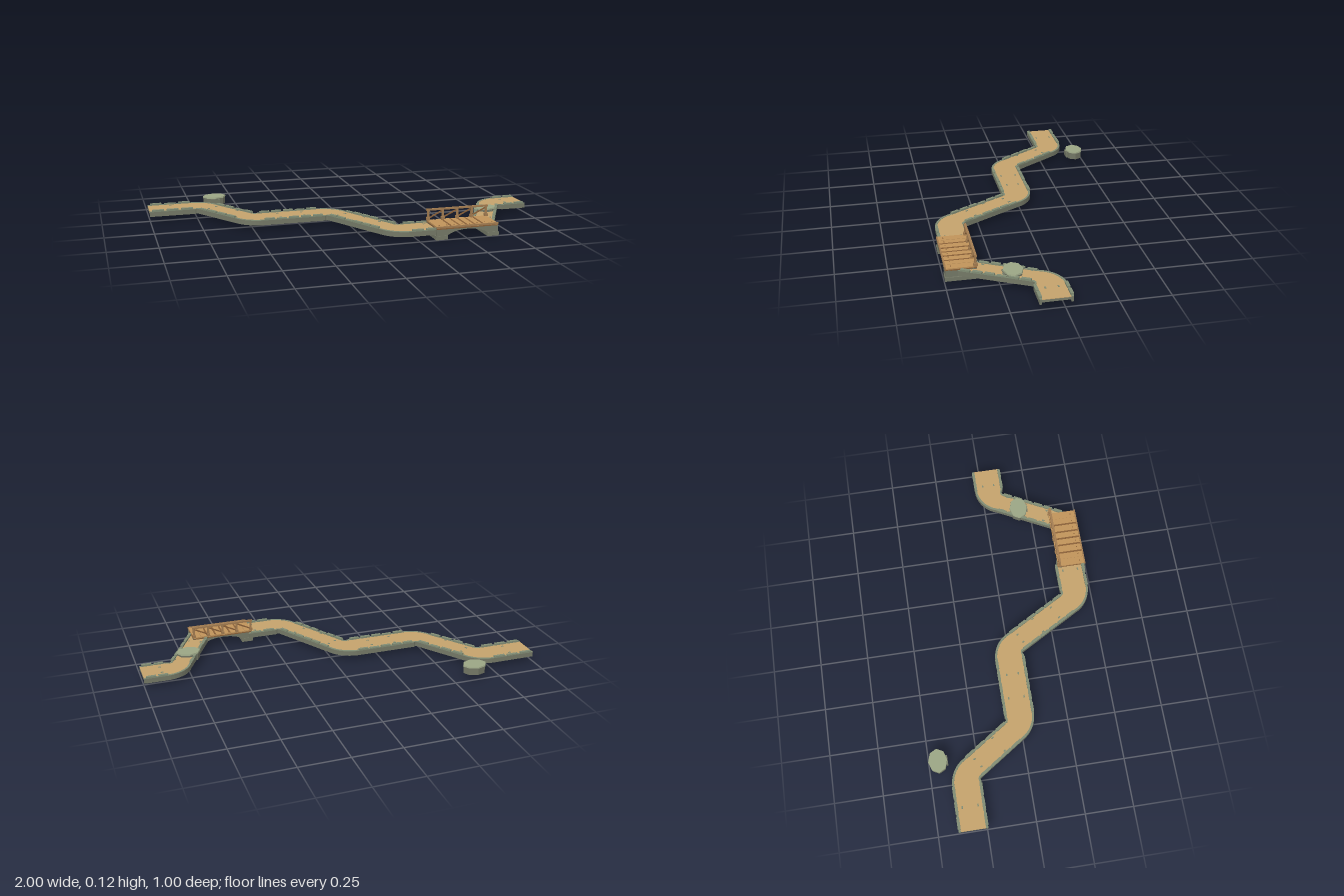
import * as THREE from 'three';

const mat = (name, color, side = THREE.FrontSide) => {
  const m = new THREE.MeshStandardMaterial({ color, side });
  m.name = name;
  return m;
};

export function createModel() {
  const root = new THREE.Group();
  root.name = 'footpathWithBridge';
  const dirt = mat('dirt', 0xc4a26c);
  const stone = mat('stone', 0x747866);
  const cap = mat('capStone', 0x808c74);
  const underStone = mat('underStone', 0x777b69, THREE.DoubleSide);
  const rockTop = mat('rockTop', 0x9ba585);
  const wood = mat('wood', 0xc0935a);
  const darkWood = mat('darkWood', 0x8a6038);
  const railWood = mat('railWood', 0xa37c50);

  const add = (parent, name, geo, material, x = 0, y = 0, z = 0, ry = 0, rz = 0) => {
    const m = new THREE.Mesh(geo, material);
    m.name = name;
    m.position.set(x, y, z);
    m.rotation.set(0, ry, rz);
    parent.add(m);
    return m;
  };
  const box = (p, name, w, h, d, material, x, y, z, ry, rz) =>
    add(p, name, new THREE.BoxGeometry(w, h, d), material, x, y, z, ry, rz);

  // Centre line with rounded corners; w is the half width of each leg
  const R = 0.085;
  function route(pts, w) {
    const legs = w.map((hw, i) => {
      const dx = pts[i + 1][0] - pts[i][0], dz = pts[i + 1][1] - pts[i][1];
      return { hw, a: Math.atan2(dz, dx), len: Math.hypot(dx, dz), x: pts[i][0], z: pts[i][1], s0: 0, s1: 0 };
    });
    const out = [];
    const put = (x, z, a, hw) => out.push({ x, z, nx: Math.sin(a), nz: -Math.cos(a), hw });
    put(pts[0][0], pts[0][1], legs[0].a, w[0]);
    for (let i = 0; i + 1 < legs.length; i++) {
      const A = legs[i], B = legs[i + 1], d = B.a - A.a, s = Math.sign(d);
      const t = R * Math.tan(Math.abs(d) / 2);
      A.s1 = t;
      B.s0 = t;
      const cx = B.x - Math.cos(A.a) * t - Math.sin(A.a) * s * R;
      const cz = B.z - Math.sin(A.a) * t + Math.cos(A.a) * s * R;
      for (let k = 0; k <= 8; k++) {
        const a = A.a + d * k / 8;
        put(cx + Math.sin(a) * s * R, cz - Math.cos(a) * s * R, a, A.hw + (B.hw - A.hw) * k / 8);
      }
    }
    const L = legs[legs.length - 1], e = pts[pts.length - 1];
    put(e[0], e[1], L.a, L.hw);
    return { out, legs };
  }

  // Sweeps a rectangular section along the route; lo and hi give the side offsets
  function sweep(line, lo, hi, y0, y1) {
    const v = [];
    const ring = line.map(p => {
      const at = (o, y) => [p.x + p.nx * o, y, p.z + p.nz * o];
      const l = lo(p.hw), h = hi(p.hw);
      return [at(l, y0), at(l, y1), at(h, y1), at(h, y0)];
    });
    const quad = (a, b, c, d) => v.push(...a, ...b, ...c, ...a, ...c, ...d);
    for (let i = 0; i + 1 < ring.length; i++)
      for (let k = 0; k < 4; k++) {
        const n = (k + 1) % 4;
        quad(ring[i][k], ring[i + 1][k], ring[i + 1][n], ring[i][n]);
      }
    const f = ring[0], b = ring[ring.length - 1];
    quad(f[0], f[1], f[2], f[3]);
    quad(b[3], b[2], b[1], b[0]);
    const g = new THREE.BufferGeometry();
    g.setAttribute('position', new THREE.Float32BufferAttribute(v, 3));
    g.computeVertexNormals();
    return g;
  }

  function path(name, pts, w) {
    const g = new THREE.Group();
    g.name = name;
    root.add(g);
    const { out, legs } = route(pts, w);
    add(g, 'dirtSurface', sweep(out, h => -h + 0.009, h => h - 0.009, 0.0485, 0.051), dirt);
    add(g, 'pathBase', sweep(out, h => -h + 0.01, h => h - 0.01, 0.036, 0.0484), underStone);
    for (const [lo, hi] of [[h => h - 0.011, h => h], [h => -h, h => -h + 0.011]]) {
      add(g, 'kerb', sweep(out, lo, hi, 0.025, 0.05), stone);
      add(g, 'kerbTop', sweep(out, lo, hi, 0.05, 0.0525), cap);
    }

    // Cap stones and pebbles along each straight leg
    legs.forEach((L, i) => {
      const straight = L.len - L.s0 - L.s1 - 0.01;
      const n = Math.max(2, Math.floor(straight / 0.058)), step = straight / n;
      const place = (nm, s, o, y, l, h, d, m) => box(g, nm, l, h, d, m,
        L.x + Math.cos(L.a) * s + Math.sin(L.a) * o, y,
        L.z + Math.sin(L.a) * s - Math.cos(L.a) * o, -L.a);
      for (const side of [-1, 1])
        for (let k = 0; k < n; k++) {
          const s = L.s0 + 0.005 + (k + 0.5) * step;
          const high = (k * 3 + i + side) % 4 ? 0.01 : 0.007;
          place('capStone', s, side * (L.hw - 0.005), 0.051 + high / 2, step * 0.8, high, 0.015, cap);
          if ((k + i) % 2) place('pebble', s, side * (L.hw * 0.4 + 0.01 * (k % 3)), 0.052, 0.013, 0.003, 0.007, cap);
        }
    });
  }
  path('westPath',
    [[-1, -0.32], [-0.714, -0.32], [-0.5, 0], [-0.075, 0], [0.155, 0.407], [0.36, 0.407]],
    [0.075, 0.066, 0.077, 0.064, 0.077]);
  path('eastPath', [[0.623, 0.409], [0.814, 0.04], [1, 0.04]], [0.055, 0.078]);

  // Eight-sided boulders with a flat lid and hollow base
  function boulder(x, z) {
    const g = new THREE.Group();
    g.name = 'boulder';
    g.position.set(x, 0.023, z);
    root.add(g);
    const part = (nm, r0, r1, y, hh, m, open) => {
      const geo = new THREE.CylinderGeometry(r1, r0, hh, 8, 1, open).toNonIndexed();
      geo.computeVertexNormals();
      add(g, nm, geo, m, 0, y, 0).scale.z = 0.78;
    };
    part('boulderWall', 0.06, 0.062, 0.019, 0.038, stone, true);
    part('boulderInside', 0.052, 0.052, 0.019, 0.038, underStone, true);
    part('boulderLid', 0.064, 0.062, 0.0415, 0.007, rockTop, false);
    box(g, 'boulderStep', 0.05, 0.03, 0.008, stone, 0, 0.018, 0.046);
  }
  boulder(-0.627, -0.45);
  boulder(0.73, 0.185);

  // Bridge: arched stone walls on footings
  const bridge = new THREE.Group();
  bridge.name = 'bridge';
  root.add(bridge);
  const arch = new THREE.Shape();
  arch.moveTo(0.34, 0);
  arch.lineTo(0.385, 0);
  arch.lineTo(0.395, 0.018);
  arch.quadraticCurveTo(0.43, 0.046, 0.505, 0.047);
  arch.quadraticCurveTo(0.58, 0.046, 0.615, 0.018);
  arch.lineTo(0.625, 0);
  arch.lineTo(0.67, 0);
  arch.lineTo(0.67, 0.055);
  arch.lineTo(0.34, 0.055);
  const archGeo = new THREE.ExtrudeGeometry(arch, { depth: 0.025, bevelEnabled: false, curveSegments: 6 });
  for (const z of [0.347, 0.468]) add(bridge, 'archWall', archGeo, stone, 0, 0, z);
  for (const x of [0.367, 0.643]) {
    box(bridge, 'footing', 0.062, 0.02, 0.152, stone, x, 0.01, 0.42);
    box(bridge, 'abutment', 0.05, 0.033, 0.146, stone, x, 0.036, 0.42);
  }

  // Deck planks with darker strips across them
  box(bridge, 'deckBase', 0.328, 0.006, 0.15, darkWood, 0.505, 0.056, 0.42);
  for (let i = 0; i < 8; i++) {
    const x = 0.362 + i * 0.0408;
    box(bridge, 'plank', 0.0395, 0.007, 0.15, wood, x, 0.0625 - (i % 2) * 0.001, 0.42);
    box(bridge, 'nail', 0.005, 0.002, 0.005, darkWood, x, 0.0665, 0.465);
  }
  for (const x of [0.42, 0.465, 0.505, 0.545, 0.59])
    box(bridge, 'crossStrip', 0.009, 0.004, 0.144, darkWood, x, 0.0645, 0.42);
  box(bridge, 'deckEdge', 0.33, 0.009, 0.007, railWood, 0.505, 0.0635, 0.492);

  // Railing on the back side only
  const px = i => 0.346 + i * 0.0795;
  for (let i = 0; i < 5; i++) {
    box(bridge, 'railPost', 0.01, 0.062, 0.01, railWood, px(i), 0.091, 0.35);
    box(bridge, 'postFoot', 0.016, 0.014, 0.02, railWood, px(i), 0.072, 0.35);
    if (i < 4) box(bridge, 'railBrace', 0.084, 0.006, 0.006, darkWood, px(i) + 0.04, 0.093, 0.35, 0, 0.45);
  }
  box(bridge, 'topRail', 0.335, 0.009, 0.012, railWood, 0.505, 0.12, 0.35);
  return root;
}
